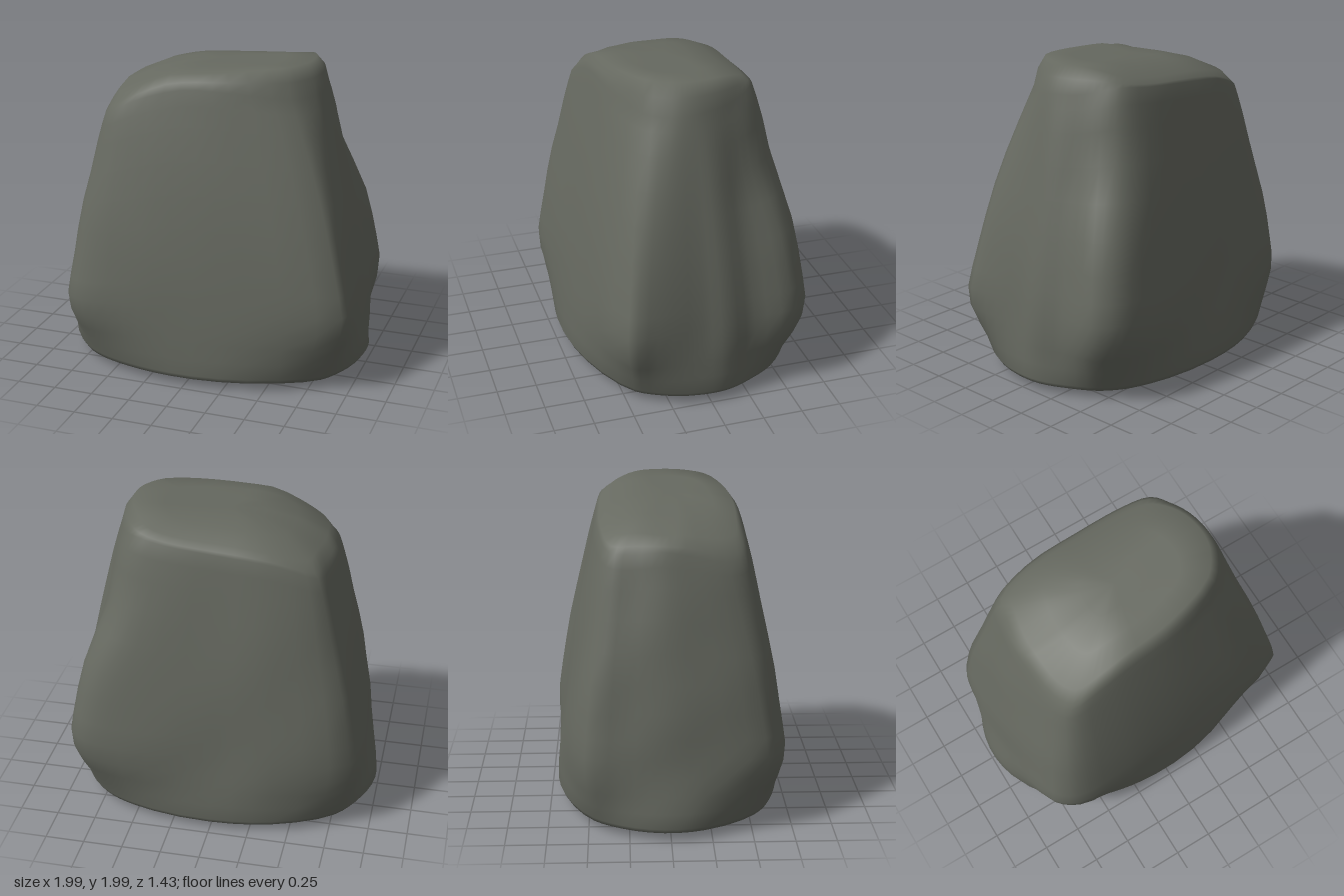
import * as THREE from 'three';

// Plan outline at the widest level, a little above the ground: x, z
const GIRTH = [
  [-0.88, -0.53], [-0.4, -0.665], [0, -0.685], [0.6, -0.735], [0.85, -0.695], [0.97, -0.555], [0.95, -0.3],
  [1, -0.12], [0.98, 0.05], [1, 0.35], [0.99, 0.535], [0.4, 0.655], [-0.1, 0.715], [-0.4, 0.73],
  [-0.7, 0.715], [-0.845, 0.61], [-0.92, 0.2], [-0.94, -0.04], [-0.92, -0.3],
];
// Matching outline of the shoulder below the crown: x, y, z
const SHOULDER = [
  [-0.6, 1.7, -0.36], [-0.35, 1.79, -0.43], [0, 1.83, -0.44], [0.33, 1.86, -0.43], [0.5, 1.88, -0.39],
  [0.59, 1.86, -0.3], [0.66, 1.83, -0.17], [0.69, 1.82, -0.04], [0.69, 1.81, 0.06], [0.66, 1.8, 0.16],
  [0.55, 1.8, 0.3], [0.2, 1.84, 0.42], [-0.1, 1.84, 0.455], [-0.4, 1.75, 0.47], [-0.57, 1.66, 0.45],
  [-0.64, 1.64, 0.34], [-0.67, 1.69, 0.1], [-0.67, 1.71, -0.05], [-0.64, 1.69, -0.22],
];
const N = GIRTH.length * 3;

// Closed smooth loop through the outline, sampled so that indices stay matched
function loop(points) {
  const curve = new THREE.CatmullRomCurve3(points, true, 'centripetal');
  return Array.from({ length: N }, (_, i) => curve.getPoint(i / N));
}

// Sloping top surface, dropping towards the right end, the long edges and one front corner
function crownHeight(x, z) {
  const fall = Math.min(0, x + 0.1);
  const edge = Math.max(0, Math.abs(z - 0.08) - 0.2);
  const corner = Math.max(0, -x - 0.2) * Math.max(0, z - 0.1);
  return 1.95 + 0.06 * x - 0.5 * fall * fall - 1.0 * edge * edge - 0.6 * corner;
}

// Scale that draws the outline towards an oval, cutting its lower corners
function ovalScale(p, amount) {
  return THREE.MathUtils.lerp(1, 1 / Math.hypot(p.x, p.z / 0.72), amount);
}

// Shallow notch high on the back left corner
function notch(p, t) {
  const d = Math.hypot(p.x - 0.72, p.z + 0.45) / 0.25;
  const h = (t - 0.76) / 0.13;
  return 1 - 0.07 * Math.exp(-d * d - h * h);
}

function rockGeometry() {
  const girth = loop(GIRTH.map(([x, z]) => new THREE.Vector3(x, 0, z)));
  const shoulder = loop(SHOULDER.map((p) => new THREE.Vector3(...p)));
  const rings = [];

  // Slightly bulged underside and its narrow rim
  for (const [s, y] of [[0.5, 0.012], [0.94, 0.04], [0.98, 0.05], [1, 0.08]]) {
    rings.push(girth.map((p) => p.clone().multiplyScalar(s * ovalScale(p, 0.82)).setY(y)));
  }

  // Sides: cut corners low down, then a taper to the shoulder with gentle lumps
  for (const t of [0.1, 0.16, 0.22, 0.29, 0.36, 0.45, 0.55, 0.66, 0.77, 0.88, 0.95, 1]) {
    const taper = Math.pow(Math.max(0, (t - 0.15) / 0.85), 1.5);
    const cut = 0.82 * (1 - THREE.MathUtils.smoothstep(t, 0.02, 0.3));
    rings.push(girth.map((p, i) => {
      const q = p.clone().multiplyScalar(ovalScale(p, cut)).lerp(shoulder[i], taper);
      const lump = 1 + 0.008 * Math.sin(q.x * 7 + t * 9) * Math.sin(q.z * 8 - t * 6);
      return q.multiplyScalar(lump * notch(q, t)).setY(shoulder[i].y * t);
    }));
  }

  // Rounded crown
  for (const [s, blend] of [[0.96, 0.55], [0.88, 1], [0.6, 1], [0.3, 1]]) {
    rings.push(shoulder.map((p) => {
      const x = p.x * s, z = p.z * s;
      return new THREE.Vector3(x, THREE.MathUtils.lerp(p.y, crownHeight(x, z), blend), z);
    }));
  }

  // Skin the rings and close both ends
  const verts = rings.flat().flatMap((p) => [p.x, p.y, p.z]);
  const bottom = rings.length * N, top = bottom + 1;
  verts.push(0, 0, 0, 0, crownHeight(0, 0), 0);
  const index = [];
  const last = (rings.length - 1) * N;
  for (let i = 0; i < N; i++) {
    const k = (i + 1) % N;
    for (let j = 0; j < rings.length - 1; j++) {
      const a = j * N + i, b = j * N + k;
      index.push(a, a + N, b, b, a + N, b + N);
    }
    index.push(bottom, i, k, top, last + k, last + i);
  }
  const geometry = new THREE.BufferGeometry();
  geometry.setAttribute('position', new THREE.Float32BufferAttribute(verts, 3));
  geometry.setIndex(index);
  geometry.computeVertexNormals();
  return geometry;
}

export function createModel() {
  const group = new THREE.Group();
  group.name = 'rock';
  const stone = new THREE.MeshStandardMaterial({ color: 0x666960 });
  stone.name = 'grey stone';
  const boulder = new THREE.Mesh(rockGeometry(), stone);
  boulder.name = 'boulder';
  group.add(boulder);
  return group;
}
